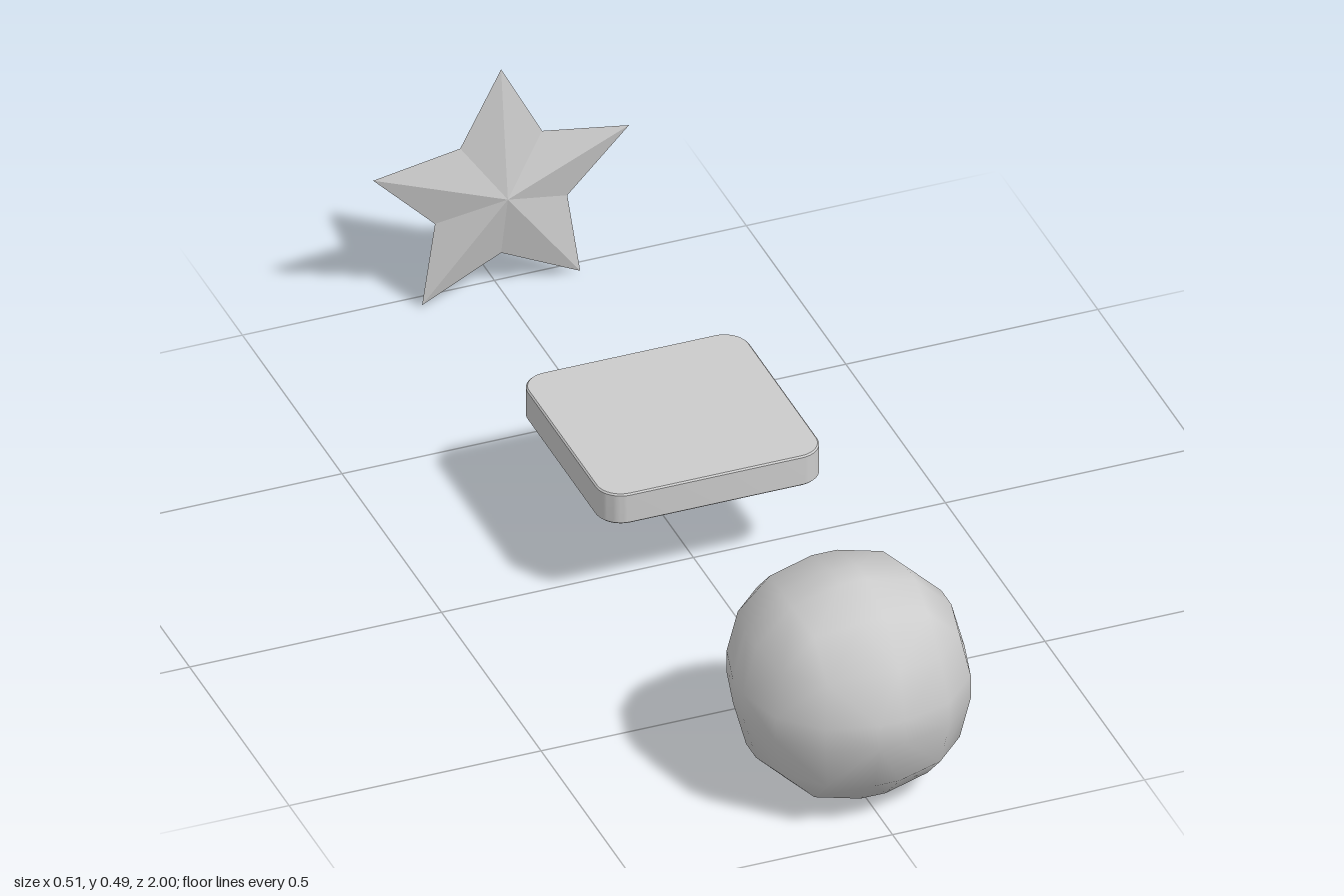
import * as THREE from 'three';
import { ConvexGeometry } from 'three/addons/geometries/ConvexGeometry.js';
import { mergeVertices, toCreasedNormals } from 'three/addons/utils/BufferGeometryUtils.js';

const CY = 0.221; // shared centre height

function part(name, geometry, z, flatShading = false) {
  const material = new THREE.MeshStandardMaterial({ color: 0xcccccc, flatShading });
  const mesh = new THREE.Mesh(geometry, material);
  mesh.name = name;
  mesh.position.set(0, CY, z);
  return mesh;
}

// Cube bevelled almost to a sphere: eight ball corners pushed out by a tiny core
function ballGeometry(core, radius) {
  const points = [];
  const signs = [-1, 1];
  const steps = [[3, 0, 0], [0, 3, 0], [0, 0, 3], [2, 1, 0], [1, 2, 0], [2, 0, 1],
    [1, 0, 2], [0, 2, 1], [0, 1, 2], [2, 1, 1], [1, 2, 1], [1, 1, 2]];
  for (const sx of signs) for (const sy of signs) for (const sz of signs) {
    for (const step of steps) {
      const [x, y, z] = step.map((n) => Math.sin(n * Math.PI / 6));
      const p = new THREE.Vector3(x, y, z).setLength(radius).addScalar(core);
      points.push(p.multiply(new THREE.Vector3(sx, sy, sz)));
    }
  }
  const hull = new ConvexGeometry(points);
  hull.deleteAttribute('normal');
  const smooth = mergeVertices(hull, 1e-5);
  smooth.computeVertexNormals();
  return smooth;
}

// Flat square slab with rounded corners and a hairline bevel
function plateGeometry(half, height, radius) {
  const c = half - radius;
  const shape = new THREE.Shape();
  [[c, c], [-c, c], [-c, -c], [c, -c]].forEach(([x, y], i) => {
    shape.absarc(x, y, radius, i * Math.PI / 2, (i + 1) * Math.PI / 2, false);
  });
  shape.closePath();
  const bevel = 0.003;
  const geometry = new THREE.ExtrudeGeometry(shape, {
    depth: height - 2 * bevel, curveSegments: 6, bevelEnabled: true,
    bevelThickness: bevel, bevelSize: bevel, bevelOffset: -bevel, bevelSegments: 1,
  });
  geometry.center().rotateX(-Math.PI / 2);
  return toCreasedNormals(geometry, 0.6);
}

// Five-pointed star rising to a peak on both faces
function starGeometry(outer, inner, depth) {
  const rim = (i) => {
    const r = i % 2 ? inner : outer;
    const a = Math.PI / 2 + i * Math.PI / 5;
    return [r * Math.cos(a), r * Math.sin(a), 0];
  };
  const positions = [];
  for (let i = 0; i < 10; i++) {
    positions.push(...rim(i), ...rim(i + 1), 0, 0, depth);
    positions.push(...rim(i + 1), ...rim(i), 0, 0, -depth);
  }
  const geometry = new THREE.BufferGeometry();
  geometry.setAttribute('position', new THREE.Float32BufferAttribute(positions, 3));
  geometry.computeVertexNormals();
  return geometry;
}

export function createModel() {
  const group = new THREE.Group();
  group.name = 'shapes';
  group.add(
    part('ball', ballGeometry(0.025, 0.195), 0.78),
    part('plate', plateGeometry(0.22, 0.065, 0.05), -0.105),
    part('star', starGeometry(0.267, 0.138, 0.034), -0.966, true),
  );
  return group;
}
